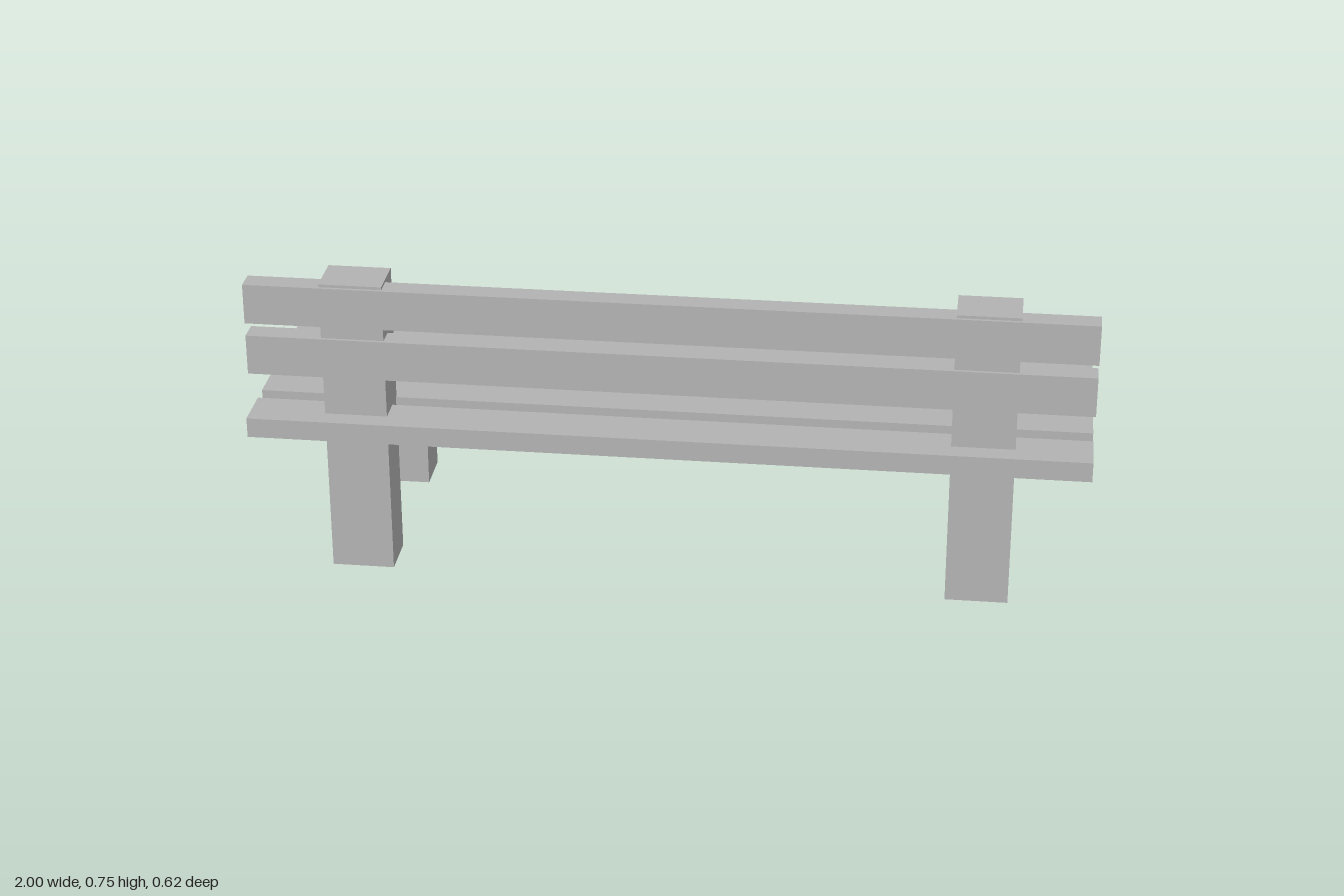
import * as THREE from 'three';

export function createModel() {
  const group = new THREE.Group();
  group.name = 'bench';
  const grey = new THREE.MeshStandardMaterial({ color: 0xb2b2b2 });
  grey.name = 'plain grey';

  // Full-length slat spanning the given height and depth ranges
  const slat = (name, y0, y1, z0, z1) => {
    const mesh = new THREE.Mesh(new THREE.BoxGeometry(2, y1 - y0, z1 - z0), grey);
    mesh.name = name;
    mesh.position.set(0, (y0 + y1) / 2, (z0 + z1) / 2);
    group.add(mesh);
  };

  // Four seat slats
  for (let i = 0; i < 4; i++) {
    const z = 0.251 - i * 0.156;
    slat('seatSlat' + (i + 1), 0.361, 0.41, z - 0.057, z + 0.057);
  }

  // Two backrest slats, set into the posts
  slat('lowerBackSlat', 0.509, 0.608, 0.212, 0.267);
  slat('upperBackSlat', 0.64, 0.739, 0.212, 0.267);

  // Side frame: tall post, seat rail and short leg in one outline (depth, height)
  const outline = [
    [-0.259, 0], [-0.145, 0], [-0.145, 0.296], [0.192, 0.296], [0.192, 0],
    [0.307, 0], [0.307, 0.353], [0.291, 0.353], [0.291, 0.361],
    [-0.145, 0.361], [-0.145, 0.746], [-0.259, 0.746],
  ].map(([d, h]) => new THREE.Vector2(d, h));
  const width = 0.15;
  const frame = new THREE.ExtrudeGeometry(new THREE.Shape(outline), { depth: width, bevelEnabled: false });
  frame.translate(0, 0, -width / 2);
  frame.rotateY(Math.PI / 2);

  for (const side of [-1, 1]) {
    const mesh = new THREE.Mesh(frame, grey);
    mesh.name = side > 0 ? 'leftFrame' : 'rightFrame';
    mesh.position.x = side * 0.745;
    group.add(mesh);
  }
  return group;
}
